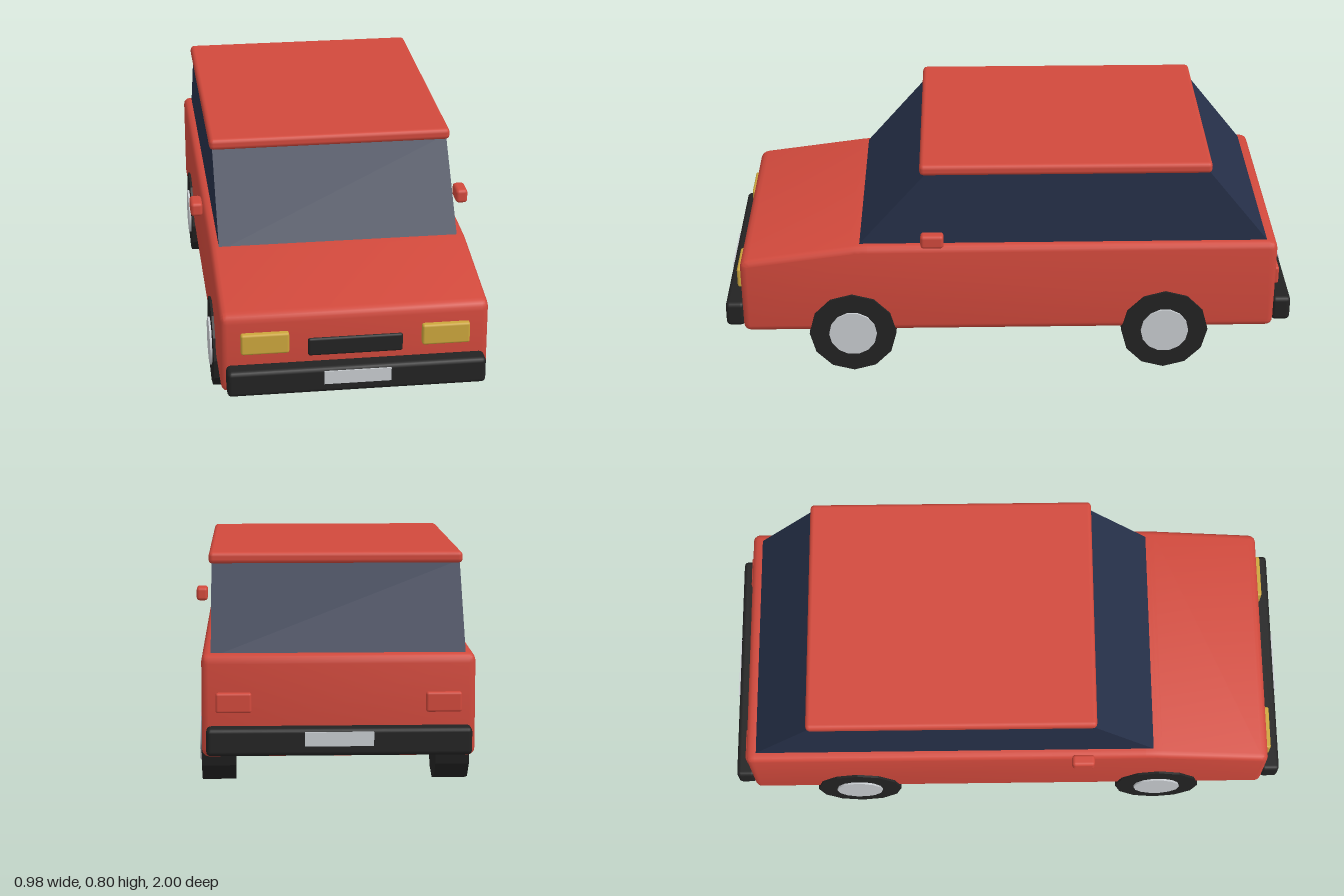
import * as THREE from 'three';
import { toCreasedNormals } from 'three/addons/utils/BufferGeometryUtils.js';
import { RoundedBoxGeometry } from 'three/addons/geometries/RoundedBoxGeometry.js';

const mat = (name, color, flatShading = false) => {
  const m = new THREE.MeshStandardMaterial({ color, flatShading });
  m.name = name;
  return m;
};

// Closed outline with rounded corners; points are [z, y]
function roundedOutline(points, r) {
  const pts = points.map(([x, y]) => new THREE.Vector2(x, y));
  const shape = new THREE.Shape();
  pts.forEach((p, i) => {
    const prev = pts[(i + pts.length - 1) % pts.length];
    const next = pts[(i + 1) % pts.length];
    const a = p.clone().add(prev.clone().sub(p).setLength(r));
    const b = p.clone().add(next.clone().sub(p).setLength(r));
    if (i === 0) shape.moveTo(a.x, a.y);
    else shape.lineTo(a.x, a.y);
    shape.quadraticCurveTo(p.x, p.y, b.x, b.y);
  });
  shape.closePath();
  return shape;
}

// Side profile swept across the car's width
function sweep(shape, halfWidth, bevel) {
  const geo = new THREE.ExtrudeGeometry(shape, {
    depth: 2 * (halfWidth - bevel), bevelEnabled: bevel > 0, bevelSize: bevel,
    bevelThickness: bevel, bevelOffset: -bevel, bevelSegments: 3, curveSegments: 4,
  });
  geo.translate(0, 0, -(halfWidth - bevel));
  geo.rotateY(-Math.PI / 2);
  return toCreasedNormals(geo, 0.6);
}

export function createModel() {
  const car = new THREE.Group();
  car.name = 'car';

  const paint = mat('red paint', 0xd1493c);
  const glass = mat('dark blue glass', 0x263049);
  const black = mat('black trim', 0x232323);
  const rubber = mat('black rubber', 0x232323, true);
  const silver = mat('silver', 0xc8ccd0);
  const amber = mat('yellow lamp', 0xcca63c);

  const add = (name, geo, material, x = 0, y = 0, z = 0) => {
    const mesh = new THREE.Mesh(geo, material);
    mesh.name = name;
    mesh.position.set(x, y, z);
    car.add(mesh);
    return mesh;
  };
  // Rounded block given by its limits on each axis
  const block = (name, [x0, x1], [y0, y1], [z0, z1], r, material) =>
    add(name, new RoundedBoxGeometry(x1 - x0, y1 - y0, z1 - z0, 2, r), material,
      (x0 + x1) / 2, (y0 + y1) / 2, (z0 + z1) / 2);

  // Lower body with sloping bonnet
  add('body', sweep(roundedOutline([
    [-0.935, 0.157], [0.935, 0.157], [0.935, 0.437], [0.52, 0.492], [-0.935, 0.492],
  ], 0.03), 0.44, 0.022), paint);

  // Glass cabin and roof panel
  add('cabin', sweep(new THREE.Shape([
    [-0.908, 0.48], [0.528, 0.48], [0.28, 0.765], [-0.682, 0.765],
  ].map(([z, y]) => new THREE.Vector2(z, y))), 0.41, 0), glass);
  block('roof', [-0.42, 0.42], [0.755, 0.795], [-0.695, 0.305], 0.015, paint);

  // Bumpers and blank number plates at both ends
  for (const [end, s] of [['front', 1], ['rear', -1]]) {
    const zRange = (a, b) => (s > 0 ? [a, b] : [-b, -a]);
    block(end + 'Bumper', [-0.425, 0.425], [0.173, 0.263], zRange(0.93, 0.996), 0.015, black);
    add(end + 'Plate', new THREE.BoxGeometry(0.22, 0.046, 0.008), silver, 0, 0.229, s * 0.996);
  }

  block('grille', [-0.156, 0.156], [0.281, 0.344], [0.92, 0.943], 0.008, black);

  for (const [side, s] of [['left', 1], ['right', -1]]) {
    const xRange = (a, b) => (s > 0 ? [a, b] : [-b, -a]);
    block(side + 'Headlight', xRange(0.218, 0.376), [0.302, 0.375], [0.91, 0.954], 0.008, amber);
    block(side + 'TailLight', xRange(0.28, 0.395), [0.305, 0.37], [-0.952, -0.91], 0.008, paint);
    block(side + 'Mirror', xRange(0.448, 0.49), [0.51, 0.56], [0.225, 0.305], 0.012, paint);

    // Faceted tyres with flat silver hubs
    for (const [end, z] of [['Front', 0.55], ['Rear', -0.55]]) {
      const tyre = new THREE.CylinderGeometry(0.153, 0.153, 0.113, 12).rotateZ(Math.PI / 2);
      add(side + end + 'Tyre', tyre, rubber, s * 0.3915, 0.153, z);
      const hub = new THREE.CylinderGeometry(0.084, 0.084, 0.12, 14).rotateZ(Math.PI / 2);
      add(side + end + 'Hub', toCreasedNormals(hub, 0.6), silver, s * 0.395, 0.153, z);
    }
  }
  return car;
}
